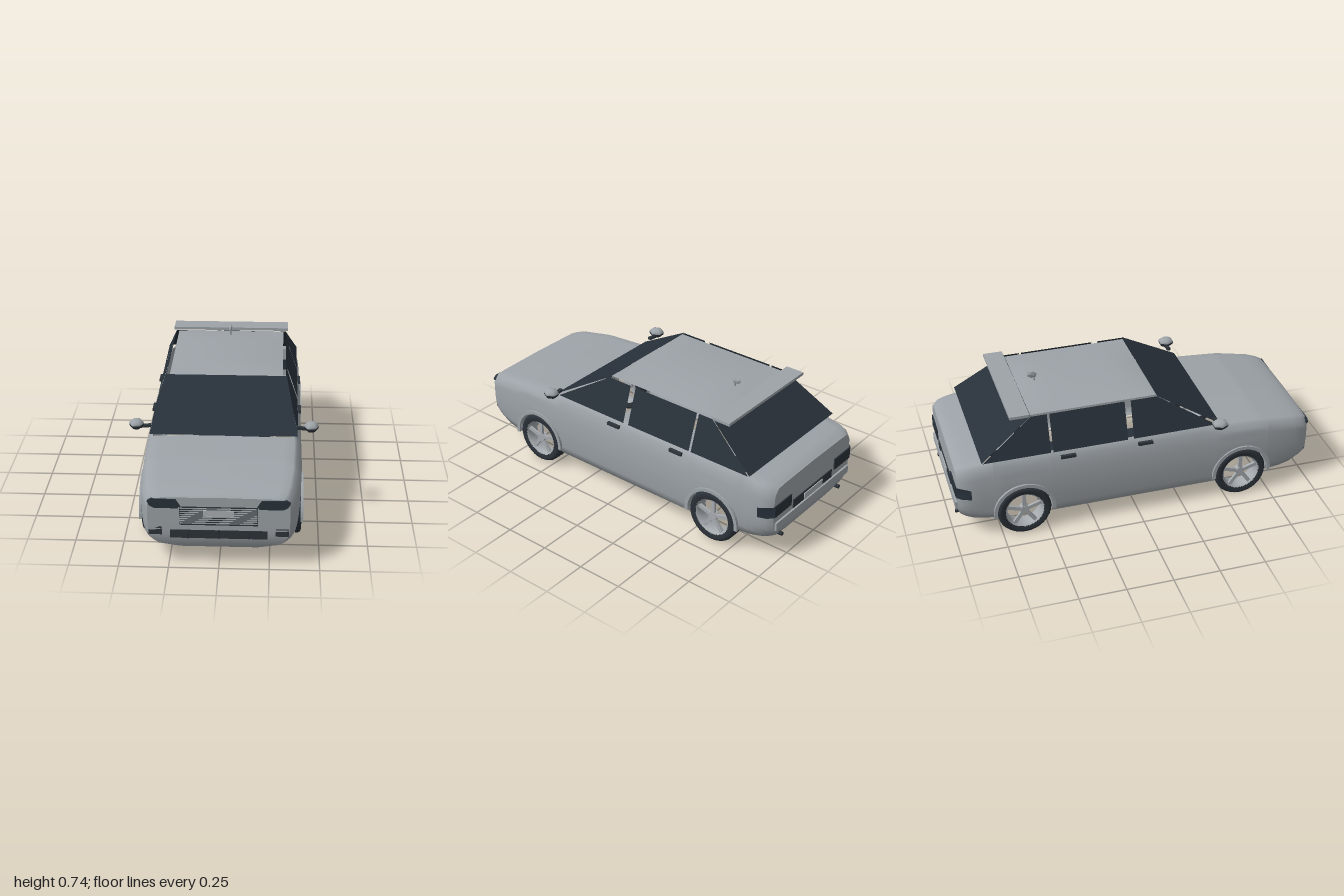
import * as THREE from 'three';

const mat = (name, color, side = THREE.FrontSide) => {
  const m = new THREE.MeshStandardMaterial({ color, side });
  m.name = name;
  return m;
};

// piecewise-linear lookup in [key, value] pairs with rising keys
const lookup = (pts, k) => {
  if (k <= pts[0][0]) return pts[0][1];
  for (let i = 1; i < pts.length; i++) {
    const [a, va] = pts[i - 1], [b, vb] = pts[i];
    if (k <= b) return va + (vb - va) * (k - a) / (b - a);
  }
  return pts[pts.length - 1][1];
};

const WHEEL_Z = [0.585, -0.63], HUB_Y = 0.145, ARCH = 0.151;
const NOSE_Z = WHEEL_Z[0] + ARCH + 0.0005, TAIL_Z = WHEEL_Z[1] - ARCH - 0.0005;
const TOP = [[-0.97, 0.43], [-0.94, 0.447], [-0.83, 0.462], [-0.79, 0.478], [0.36, 0.479], [0.45, 0.465], [0.7, 0.452], [0.9, 0.42], [0.97, 0.4], [0.99, 0.383]];
const HALF = [[-0.975, 0.352], [-0.95, 0.376], [-0.9, 0.392], [-0.75, 0.405], [-0.4, 0.41], [0.5, 0.41], [0.75, 0.402], [0.9, 0.385], [0.96, 0.37], [0.988, 0.35]];
const SIDE = [[0.1, 0.955], [0.16, 0.98], [0.25, 1], [0.33, 1], [0.4, 0.985], [0.45, 0.955]];

export function createModel() {
  const car = new THREE.Group();
  car.name = 'car';
  const paint = mat('body paint', 0x9da3a8, THREE.DoubleSide);
  const glass = mat('dark glass', 0x28313a, THREE.DoubleSide);
  const rubber = mat('tyre rubber', 0x2a3138);
  const trim = mat('dark trim', 0x2d343b);
  const alloy = mat('light alloy', 0xa6abb0, THREE.DoubleSide);
  const plate = mat('plate', 0xadb2b6);

  const add = (name, geo, material, x = 0, y = 0, z = 0, parent = car) => {
    const m = new THREE.Mesh(geo, material);
    m.name = name;
    m.position.set(x, y, z);
    parent.add(m);
    return m;
  };
  const box = (name, material, w, h, d, x, y, z, parent) =>
    add(name, new THREE.BoxGeometry(w, h, d), material, x, y, z, parent);
  const surface = (name, pos, index, material) => {
    const g = new THREE.BufferGeometry();
    g.setAttribute('position', new THREE.Float32BufferAttribute(pos, 3));
    g.setIndex(index);
    g.computeVertexNormals();
    return add(name, g, material);
  };
  const panel = (name, pts, material) => {
    const index = [];
    for (let i = 1; i < pts.length - 1; i++) index.push(0, i, i + 1);
    return surface(name, pts.flat(), index, material);
  };

  // body shell: rings across the car, listed from nose to tail
  const zs = [0.988, 0.975, 0.95, 0.9, 0.83, 0.775, 0.45, 0.36, 0.2, 0, -0.2, -0.4, -0.83, -0.87, -0.91, -0.945, -0.965, -0.975];
  for (const c of WHEEL_Z) {
    zs.push(c + ARCH + 0.001, c - ARCH - 0.001);
    for (let i = 0; i <= 16; i++) zs.push(c + ARCH * Math.cos(Math.PI * i / 16));
  }
  zs.sort((a, b) => b - a);
  const ROWS = 9, HALF_N = ROWS + 5, RING = HALF_N * 2 - 1;
  const pos = [];
  for (const z of zs) {
    const t = lookup(TOP, z), w = lookup(HALF, z);
    const bumper = z > NOSE_Z || z < TAIL_Z;
    let b = bumper ? 0.125 : 0.11;
    for (const c of WHEEL_Z) {
      const d = Math.abs(z - c);
      if (d <= ARCH + 1e-6) b = 0.15 + Math.sqrt(Math.max(0, ARCH * ARCH - d * d));
    }
    const half = [];
    const end = Math.min(1, Math.max(0, (Math.abs(z) - 0.78) / 0.2));
    const tuck = y => (Math.max(0, (0.2 - y) / 0.1) * end) ** 2;
    // inner lip: sill return along the doors, rounded belly under the bumpers
    if (bumper) half.push([w * 0.55, b - 0.024, z - Math.sign(z) * 0.03 * tuck(b - 0.024)]);
    else half.push([w * 0.96 - 0.03, b, z]);
    for (let r = 0; r < ROWS; r++) {
      const y = b + (t - 0.04 - b) * r / (ROWS - 1);
      half.push([w * (lookup(SIDE, y) - 0.2 * tuck(y)), y, z - Math.sign(z) * 0.03 * tuck(y)]);
    }
    half.push([w * 0.935, t - 0.014, z], [w * 0.9, t - 0.004, z], [w * 0.78, t, z], [0, t + 0.004, z]);
    for (const p of half) pos.push(...p);
    for (let j = HALF_N - 2; j >= 0; j--) pos.push(-half[j][0], half[j][1], half[j][2]);
  }
  const skin = [], nose = [], tail = [], pans = [];
  for (let s = 0; s < zs.length - 1; s++) {
    const cabin = zs[s] <= 0.4501 && zs[s + 1] >= -0.8301;
    for (let j = 0; j < RING - 1; j++) {
      if (cabin && j >= ROWS + 2 && j < RING - ROWS - 3) continue;
      const a = s * RING + j, c = a + RING;
      skin.push(a, c, a + 1, a + 1, c, c + 1);
    }
    if (zs[s + 1] > NOSE_Z || zs[s] < TAIL_Z) {
      const p = s * RING, q = p + RING - 1;
      pans.push(p, q, p + RING, p + RING, q, q + RING);
    }
  }
  const last = (zs.length - 1) * RING;
  for (let j = 0; j < HALF_N - 1; j++) {
    const m = RING - 1 - j;
    nose.push(j, j + 1, m, m, j + 1, m - 1);
    tail.push(last + j, last + m, last + j + 1, last + m, last + m - 1, last + j + 1);
  }
  surface('bodyShell', pos, skin, paint);
  surface('noseFace', pos, nose, paint);
  surface('tailFace', pos, tail, paint);
  surface('bumperUndersides', pos, pans, paint);

  // floor: one pale and one dark triangle
  panel('floorFront', [[-0.27, 0.102, 0.43], [-0.27, 0.102, -0.49], [0.24, 0.102, 0.43]], paint);
  panel('floorRear', [[0.24, 0.102, 0.43], [-0.27, 0.102, -0.49], [0.24, 0.102, -0.49]], glass);

  // roof: gently crowned sheet
  const roof = new THREE.PlaneGeometry(0.61, 0.69, 10, 12).rotateX(-Math.PI / 2);
  const rp = roof.attributes.position;
  for (let i = 0; i < rp.count; i++) {
    const u = rp.getX(i) / 0.305, v = rp.getZ(i) / 0.345;
    rp.setY(i, 0.672 + 0.018 * (1 - u * u) * (1 - v ** 4));
  }
  roof.computeVertexNormals();
  add('roof', roof, paint, 0, 0, -0.225);

  // front and rear screens
  panel('windscreen', [[-0.387, 0.476, 0.46], [0.387, 0.476, 0.46], [0.325, 0.674, 0.12], [-0.325, 0.674, 0.12]], glass);
  panel('rearScreen', [[0.385, 0.475, -0.84], [-0.385, 0.475, -0.84], [-0.32, 0.674, -0.56], [0.32, 0.674, -0.56]], glass);

  // roof spoiler, brake light and aerial
  box('spoiler', paint, 0.666, 0.016, 0.105, 0, 0.684, -0.62);
  box('highBrakeLight', trim, 0.2, 0.012, 0.008, 0, 0.67, -0.6);
  const aerial = add('aerial', new THREE.IcosahedronGeometry(1, 0), paint, 0, 0.721, -0.477);
  aerial.scale.set(0.01, 0.022, 0.03);
  aerial.rotation.x = 0.3;
  add('aerialStalk', new THREE.CylinderGeometry(0.004, 0.005, 0.035, 8), paint, 0, 0.695, -0.465);

  // nose details
  box('grille', trim, 0.39, 0.1, 0.01, 0, 0.288, 0.986);
  for (let i = 0; i < 8; i++) box('grilleSlat', paint, 0.38, 0.006, 0.006, 0, 0.249 + i * 0.0115, 0.99);
  for (const s of [-1, 1]) box('grilleFrame', paint, 0.006, 0.1, 0.008, s * 0.195, 0.288, 0.99);
  box('frontPlate', plate, 0.15, 0.032, 0.006, 0, 0.306, 0.995);
  box('lowerIntake', trim, 0.48, 0.045, 0.012, 0, 0.187, 0.984);
  for (const x of [-0.15, 0, 0.15]) box('intakeBar', rubber, 0.006, 0.047, 0.006, x, 0.187, 0.99);

  // tail details
  box('rearBumperStrip', paint, 0.68, 0.045, 0.02, 0, 0.205, -0.976);
  box('plateRecess', trim, 0.36, 0.05, 0.008, 0, 0.258, -0.976);
  box('rearPlate', plate, 0.17, 0.036, 0.006, 0, 0.255, -0.982);

  const lamp = new THREE.Shape([[0.2, 0.33], [0.188, 0.342], [0.21, 0.378], [0.33, 0.38], [0.35, 0.365], [0.338, 0.342], [0.315, 0.33]].map(p => new THREE.Vector2(...p)));
  const lampGeo = new THREE.ExtrudeGeometry(lamp, { depth: 0.02, bevelEnabled: false });
  const arch = new THREE.Shape();
  arch.absarc(0, 0, 0.168, -0.1, Math.PI + 0.1, false);
  arch.absarc(0, 0, 0.149, Math.PI + 0.1, -0.1, true);
  const archGeo = new THREE.ExtrudeGeometry(arch, { depth: 0.014, bevelEnabled: false, curveSegments: 10 }).rotateY(Math.PI / 2);

  // wheel profiles: [radius, offset along the axle]
  const V = ([x, y]) => new THREE.Vector2(x, y);
  const tyreGeo = new THREE.LatheGeometry([[0.104, -0.04], [0.125, -0.046], [0.138, -0.042], [0.145, -0.03], [0.145, -0.017], [0.139, -0.015], [0.139, -0.011], [0.145, -0.009], [0.145, 0.009], [0.139, 0.011], [0.139, 0.015], [0.145, 0.017], [0.145, 0.03], [0.138, 0.042], [0.125, 0.046], [0.104, 0.04]].map(V), 32).rotateZ(-Math.PI / 2);
  const rimGeo = new THREE.LatheGeometry([[0.1, -0.04], [0.094, 0], [0.094, 0.03], [0.106, 0.041]].map(V), 32).rotateZ(-Math.PI / 2);

  for (const s of [-1, 1]) {
    const side = s > 0 ? 'left' : 'right';

    // side windows, with open gaps for the pillars
    const win = (name, pts) => {
      const p = pts.map(([z, y]) => [s * (0.387 - (y - 0.478) * 0.34), y, z]);
      panel(side + name, s > 0 ? p : p.reverse(), glass);
    };
    win('FrontWindow', [[0.435, 0.476], [-0.025, 0.474], [-0.025, 0.671], [0.12, 0.671]]);
    win('RearWindow', [[-0.058, 0.474], [-0.462, 0.474], [-0.462, 0.671], [-0.058, 0.671]]);
    win('QuarterWindow', [[-0.475, 0.474], [-0.835, 0.474], [-0.56, 0.671], [-0.475, 0.671]]);

    // lamps
    const head = add(side + 'Headlight', lampGeo, glass, 0, 0, 0.974);
    if (s < 0) { head.rotation.y = Math.PI; head.position.z = 0.994; }
    box(side + 'FogLight', trim, 0.065, 0.045, 0.012, s * 0.312, 0.203, 0.982);
    box(side + 'TailLight', glass, 0.15, 0.065, 0.01, s * 0.278, 0.3, -0.977);
    const wrap = [[0.4, 0.268, -0.905], [0.384, 0.268, -0.95], [0.358, 0.268, -0.98], [0.358, 0.333, -0.98], [0.384, 0.333, -0.95], [0.4, 0.325, -0.905]].map(([x, y, z]) => [s * x, y, z]);
    panel(side + 'TailLightWrap', s > 0 ? wrap : wrap.reverse(), glass);
    add(side + 'Exhaust', new THREE.CylinderGeometry(0.011, 0.011, 0.05, 10).rotateX(Math.PI / 2), trim, s * 0.27, 0.122, -0.955);

    // door handles
    for (const z of [0.035, -0.385]) box(side + 'DoorHandle', trim, 0.018, 0.016, 0.08, s * 0.398, 0.442, z);

    // mirror: faceted pod with a dark lower half on a short arm
    const pod = new THREE.Group();
    pod.name = side + 'Mirror';
    pod.position.set(s * 0.455, 0.522, 0.43);
    car.add(pod);
    add('mirrorCap', new THREE.SphereGeometry(1, 6, 4, 0, Math.PI * 2, 0, Math.PI / 2), paint, 0, 0, 0, pod).scale.set(0.039, 0.026, 0.045);
    add('mirrorBase', new THREE.SphereGeometry(1, 6, 4, 0, Math.PI * 2, Math.PI / 2, Math.PI / 2), trim, 0, 0, 0, pod).scale.set(0.039, 0.03, 0.045);
    box('mirrorArm', trim, 0.06, 0.014, 0.02, -s * 0.045, -0.014, -0.005, pod).rotation.z = -s * 0.1;

    // wheels and arch trims
    for (const z of WHEEL_Z) {
      const end = z > 0 ? 'Front' : 'Rear';
      add(side + end + 'ArchTrim', archGeo, paint, s > 0 ? 0.404 : -0.418, 0.15, z);
      const wheel = new THREE.Group();
      wheel.name = side + end + 'Wheel';
      wheel.position.set(s * 0.364, HUB_Y, z);
      if (s < 0) wheel.rotation.y = Math.PI;
      car.add(wheel);
      add('tyre', tyreGeo, rubber, 0, 0, 0, wheel);
      add('rim', rimGeo, alloy, 0, 0, 0, wheel);
      add('hub', new THREE.CylinderGeometry(0.024, 0.028, 0.03, 10).rotateZ(-Math.PI / 2), alloy, 0.02, 0, 0, wheel);
      for (let i = 0; i < 5; i++) {
        const g = new THREE.BoxGeometry(0.014, 0.08, 0.02).translate(0, 0.058, 0).rotateX(i * Math.PI * 0.4);
        add('spoke', g, alloy, 0.026, 0, 0, wheel);
      }
    }
  }
  return car;
}
